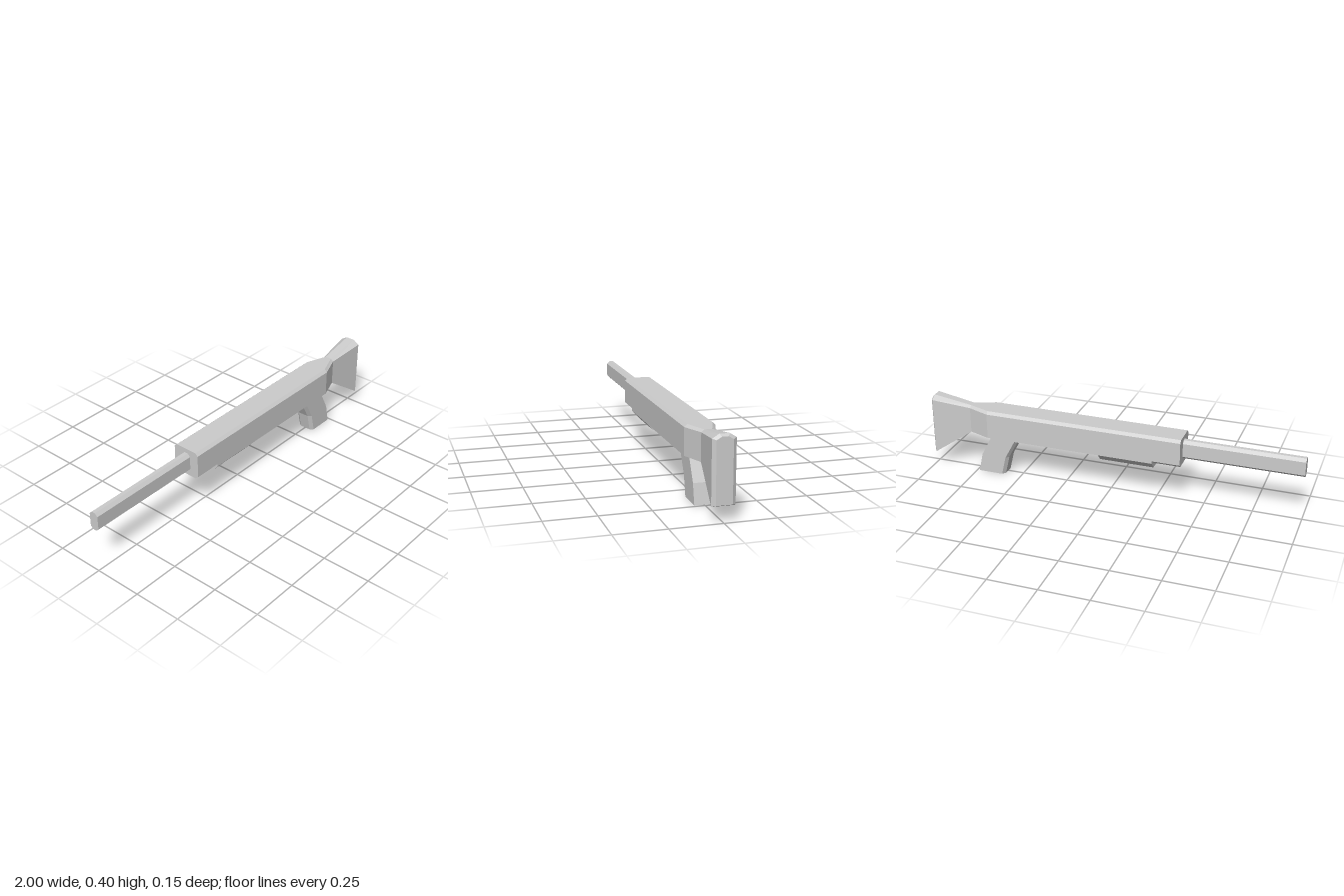
import * as THREE from 'three';

const material = new THREE.MeshStandardMaterial({ color: 0xcccccc, flatShading: true });

// Lofts mirrored cross-sections along x. Each section is [x, half], where half
// lists [z, y] points of the +z side from bottom to top.
function loft(sections) {
  const rings = sections.map(([x, half]) => [
    ...half.map(([z, y]) => [x, y, z]),
    ...[...half].reverse().map(([z, y]) => [x, y, -z]),
  ]);
  const n = rings[0].length;
  const pos = [];
  const tri = (a, b, c) => pos.push(...a, ...b, ...c);
  for (let s = 0; s < rings.length - 1; s++) {
    const a = rings[s], b = rings[s + 1];
    for (let i = 0; i < n; i++) {
      const j = (i + 1) % n;
      tri(a[i], b[i], b[j]);
      tri(a[i], b[j], a[j]);
    }
  }
  // End caps
  const first = rings[0], last = rings[rings.length - 1];
  for (let i = 1; i < n - 1; i++) {
    tri(first[0], first[i], first[i + 1]);
    tri(last[0], last[i + 1], last[i]);
  }
  const geo = new THREE.BufferGeometry();
  geo.setAttribute('position', new THREE.Float32BufferAttribute(pos, 3));
  geo.computeVertexNormals();
  return geo;
}

export function createModel() {
  const group = new THREE.Group();
  const add = (name, geo) => {
    const mesh = new THREE.Mesh(geo, material);
    mesh.name = name;
    group.add(mesh);
  };

  // Barrel: slim tube with bevelled edges
  const barrelHalf = [[0.01, 0.243], [0.025, 0.257], [0.025, 0.328], [0.01, 0.343]];
  add('barrel', loft([[-1, barrelHalf], [-0.38, barrelHalf]]));

  // Receiver and stock: bevelled top, bevelled underside only at the front,
  // pinched neck, then a flared butt with a bevelled end
  const bevelled = [[0.06, 0.217], [0.075, 0.231], [0.075, 0.352], [0.06, 0.366]];
  const square = [[0.075, 0.217], [0.075, 0.217], [0.075, 0.352], [0.06, 0.366]];
  add('receiverAndStock', loft([
    [-0.385, bevelled],
    [-0.24, bevelled],
    [-0.24, square],
    [0.665, square],
    [0.78, [[0.033, 0.217], [0.033, 0.217], [0.033, 0.354], [0.018, 0.366]]],
    [0.988, [[0.056, 0.076], [0.056, 0.076], [0.056, 0.38], [0.024, 0.4]]],
    [1, [[0.039, 0.082], [0.039, 0.082], [0.039, 0.375], [0.015, 0.389]]],
  ]));

  // Fore grip: tapered block under the receiver
  const foreHalf = [[0.043, 0.181], [0.075, 0.217]];
  add('foreGrip', loft([[-0.24, foreHalf], [0.047, foreHalf]]));

  // Pistol grip: [height, front x, rear x], lofted upright with bevelled front edges
  const grip = [[0, 0.59, 0.737], [0.1, 0.566, 0.715], [0.218, 0.502, 0.653]];
  add('pistolGrip', loft(grip.map(([y, front, rear]) => [
    y, [[0.048, -rear], [0.048, -(front + 0.015)], [0.03, -front]],
  ])).rotateZ(Math.PI / 2));

  return group;
}
